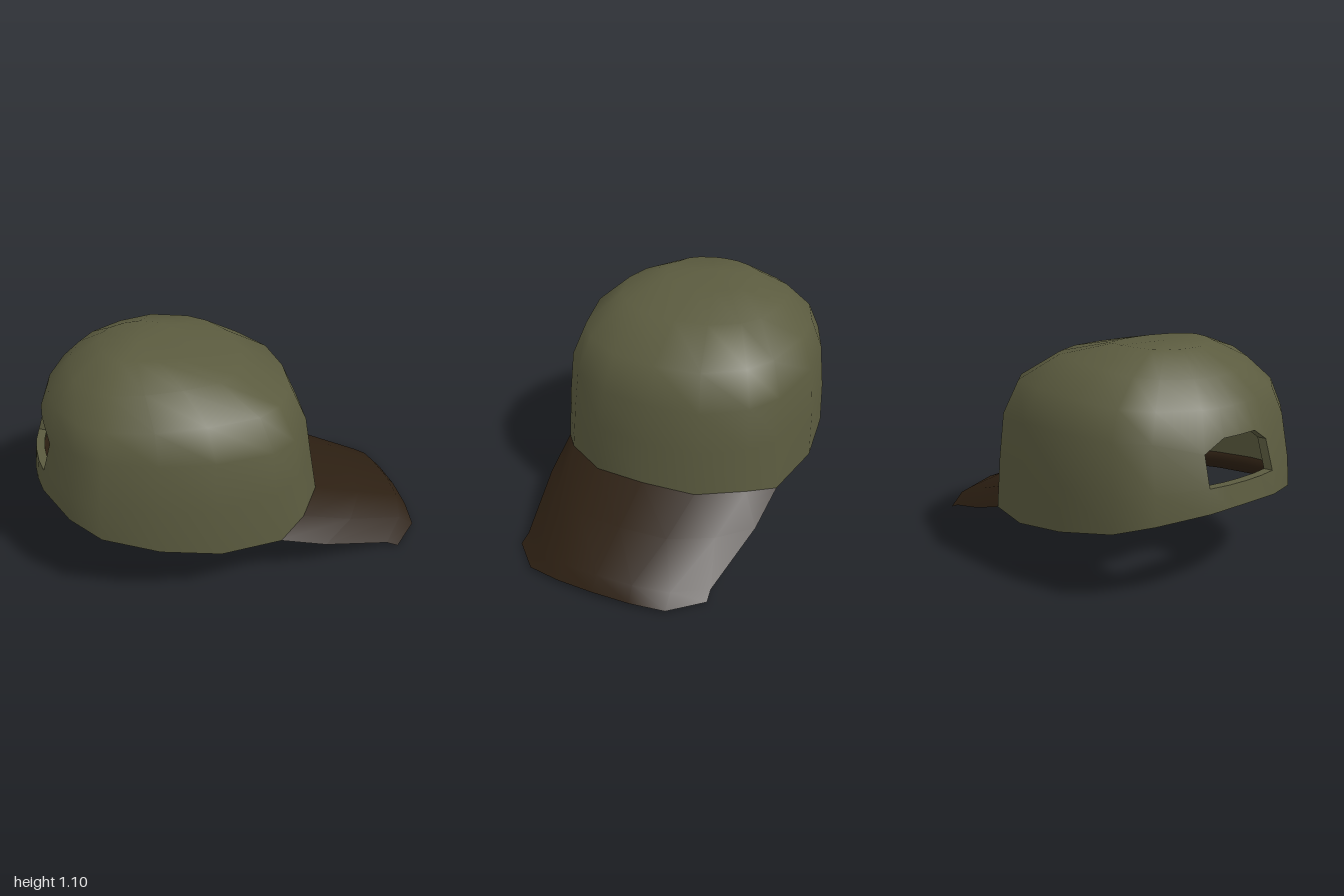
import * as THREE from 'three';
import { mergeVertices } from 'three/addons/utils/BufferGeometryUtils.js';

const GREEN = 0x5b5b3f, BROWN = 0x2c1f12;

// Half outline of the rim, front to back: [forward, side, height]
const HALF = [
  [0.43, 0, 0.295], [0.4, 0.27, 0.283], [0.265, 0.49, 0.28], [0.118, 0.6, 0.237],
  [-0.197, 0.67, 0.27], [-0.483, 0.642, 0.315], [-0.743, 0.55, 0.365], [-0.877, 0.42, 0.41],
  [-0.982, 0.198, 0.447], [-1.0, 0.1, 0.457], [-1.005, 0, 0.46],
];
const mirror = ([x, z, y]) => [x, -z, y];
const RIM = [...HALF, ...HALF.slice(1, -1).reverse().map(mirror)];
const N = RIM.length;

// Crown rings: front x, back x, half width, then heights at front, side and back
const RINGS = [
  [0.43, -1.005, 0.67, 0, 0, 0],
  [0.392, -0.99, 0.662, 0.5, 0.52, 0.56],
  [0.36, -0.945, 0.64, 0.7, 0.77, 0.76],
  [0.28, -0.9, 0.575, 0.88, 0.92, 0.88],
  [0.05, -0.79, 0.43, 1.02, 1.04, 0.99],
  [-0.22, -0.64, 0.23, 1.08, 1.1, 1.095],
  [-0.45, -0.45, 0, 1.1, 1.1, 1.1],
];

// Points of one crown ring, moved inward by inset
function ringPoints(k, inset = 0) {
  const [f, b, w, yf, ys, yb] = RINGS[k];
  const shrink = w > 0 ? (w - inset) / w : 0;
  return RIM.map(([x, z, y], i) => {
    const t = (x + 0.2875) / 0.7175;
    const px = (f + b) / 2 + (t * (f - b) / 2) * shrink;
    const pz = (z / 0.67) * w * shrink;
    let py = k === 0 ? y : ys + Math.abs(t) * ((t > 0 ? yf : yb) - ys);
    if (k === 2 && (i === 8 || i === 12)) py = 0.7; // clipped corners of the back opening
    if (k > 2) py -= inset * (k - 2) / 4;
    return new THREE.Vector3(px, py, pz);
  });
}

// Skin between rows of points; skip(row, column) leaves a hole
function skin(rows, { closed = true, skip = () => false, flip = false } = {}) {
  const pos = [];
  const tri = (a, b, c) => (flip ? [a, c, b] : [a, b, c]).forEach((p) => pos.push(p.x, p.y, p.z));
  for (let r = 0; r < rows.length - 1; r++) {
    const n = rows[r].length;
    for (let i = 0; i < (closed ? n : n - 1); i++) {
      if (skip(r, i)) continue;
      const j = (i + 1) % n;
      const a = rows[r][i], b = rows[r][j], c = rows[r + 1][j], d = rows[r + 1][i];
      tri(a, c, b);
      if (c.distanceTo(d) > 1e-6) tri(a, d, c);
    }
  }
  const g = new THREE.BufferGeometry();
  g.setAttribute('position', new THREE.Float32BufferAttribute(pos, 3));
  const merged = mergeVertices(g, 1e-5);
  merged.computeVertexNormals();
  return merged;
}

export function createModel() {
  const root = new THREE.Group();
  root.name = 'cap';
  const cap = new THREE.Group();
  cap.name = 'turnedCap';
  cap.rotation.y = 0.349;
  cap.position.set(-0.005, 0, -0.014);
  root.add(cap);

  const add = (name, geometry, color) => {
    const material = new THREE.MeshStandardMaterial({ color, side: THREE.DoubleSide });
    const mesh = new THREE.Mesh(geometry, material);
    mesh.name = name;
    cap.add(mesh);
  };

  // Crown shell and lining, both open at the back adjuster
  const inset = 0.04;
  const outer = RINGS.map((_, k) => ringPoints(k));
  const inner = RINGS.map((_, k) => ringPoints(k, inset));
  const skip = (r, i) => r === 1 && i >= 8 && i < 12;
  add('crown', skin(outer, { skip }), GREEN);
  add('lining', skin(inner, { skip, flip: true }), GREEN);
  add('rimEdge', skin([inner[0], outer[0]]), GREEN);

  // Walls of the back opening
  const border = (rings) => [
    ...rings[1].slice(8, 13), ...rings[2].slice(8, 13).reverse(),
  ];
  const opening = skin([border(inner), border(outer)]).toNonIndexed();
  opening.computeVertexNormals();
  add('backOpening', opening, GREEN);

  // Sweatband inside the rim
  const bandLow = ringPoints(0, inset + 0.005);
  const bandHigh = ringPoints(0, 0.095);
  bandHigh.forEach((p) => { p.y += 0.06; });
  const bandTop = ringPoints(0, inset + 0.005);
  bandTop.forEach((p) => { p.y += 0.09; });
  add('sweatband', skin([bandLow, bandHigh, bandTop], { flip: true }), BROWN);

  // Bill: rows from crown to edge, each listed from side to middle
  const billRows = [
    [HALF[3], HALF[2], HALF[1], HALF[0]],
    [[0.36, 0.58, 0.15], [0.54, 0.44, 0.175], [0.66, 0.24, 0.188], [0.68, 0, 0.193]],
    [[0.73, 0.5, 0.03], [0.86, 0.35, 0.062], [0.91, 0.18, 0.083], [0.92, 0, 0.09]],
    [[0.79, 0.506, 0.004], [0.935, 0.36, 0.015], [0.965, 0.19, 0.021], [0.974, 0, 0.025]],
  ].map((half) => [...half, ...half.slice(0, -1).reverse().map(mirror)]);
  const toVectors = (rows, drop) => rows.map((row, r) => row.map(([x, z, y], i) => {
    const onEdge = r === 3 || i === 0 || i === 6;
    return new THREE.Vector3(x, y - (onEdge ? 0 : drop), z);
  }));
  add('billTop', skin(toVectors(billRows, 0), { closed: false, flip: true }), BROWN);
  add('billUnderside', skin(toVectors(billRows, 0.03), { closed: false }), BROWN);

  return root;
}
